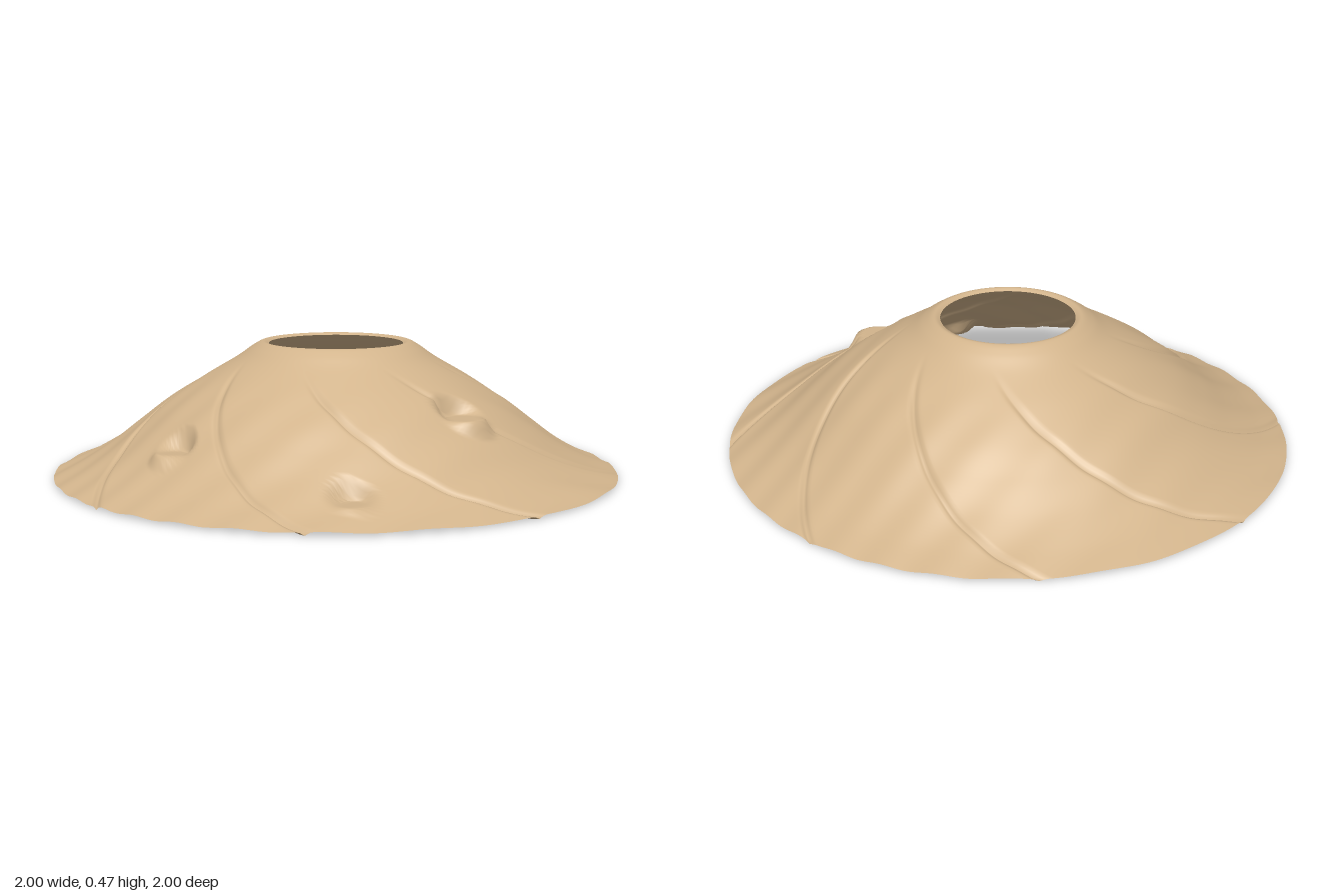
import * as THREE from 'three';

const ROWS = 80, COLS = 384, GROOVES = 8, TWIST = 1.55;

// Radius and height from the inner lip to the outer rim
const profile = new THREE.SplineCurve([
  [0.238, 0.466], [0.262, 0.473], [0.3, 0.453], [0.36, 0.411], [0.48, 0.34],
  [0.6, 0.262], [0.7, 0.185], [0.8, 0.11], [0.9, 0.052], [1, 0.01],
].map(([r, y]) => new THREE.Vector2(r, y)));

// Level round pads set into the slope
const pads = [
  { x: 0.46, z: 0.37, y: 0.26, r: 0.068 },
  { x: -0.49, z: 0.53, y: 0.155, r: 0.052 },
  { x: 0.13, z: 0.84, y: 0.063, r: 0.052 },
];

function surfaceHeight(x, z, r, base, offset) {
  const slope = THREE.MathUtils.smoothstep(r, 0.36, 0.6);
  // Gentle diagonal ripples
  let y = base + 0.003 * slope * Math.sin((x + z) * 26 + Math.sin(x * 5 - z * 3));
  // Narrow spiral grooves, fading out towards the top
  const d = offset * r / 0.013;
  y -= 0.013 * THREE.MathUtils.smoothstep(r, 0.34, 0.55) * Math.exp(-d * d);
  for (const p of pads) {
    const k = 1 - THREE.MathUtils.smoothstep(Math.hypot(x - p.x, z - p.z), p.r, p.r + 0.032);
    y += (p.y - y) * k;
  }
  return Math.max(0, y);
}

export function createModel() {
  const positions = [], indices = [];
  const sector = Math.PI * 2 / GROOVES;
  for (let i = 0; i <= ROWS; i++) {
    const { x: r, y: base } = profile.getPoint(i / ROWS);
    for (let j = 0; j < COLS; j++) {
      // Columns follow the spiral, so each groove lies along a column
      const a = j / COLS * Math.PI * 2;
      const offset = a - Math.round(a / sector) * sector;
      const angle = a + TWIST * (1 - r);
      const x = r * Math.cos(angle), z = r * Math.sin(angle);
      positions.push(x, surfaceHeight(x, z, r, base, offset), z);
      if (i < ROWS) {
        const p = i * COLS + j, q = i * COLS + (j + 1) % COLS;
        indices.push(p, q, p + COLS, q, q + COLS, p + COLS);
      }
    }
  }
  const geometry = new THREE.BufferGeometry();
  geometry.setAttribute('position', new THREE.Float32BufferAttribute(positions, 3));
  geometry.setIndex(indices);
  geometry.computeVertexNormals();

  const tan = new THREE.MeshStandardMaterial({ color: 0xd2b48c, side: THREE.DoubleSide });
  tan.name = 'tan';
  const shell = new THREE.Mesh(geometry, tan);
  shell.name = 'groovedConeShell';

  const group = new THREE.Group();
  group.name = 'openCone';
  group.add(shell);
  return group;
}
